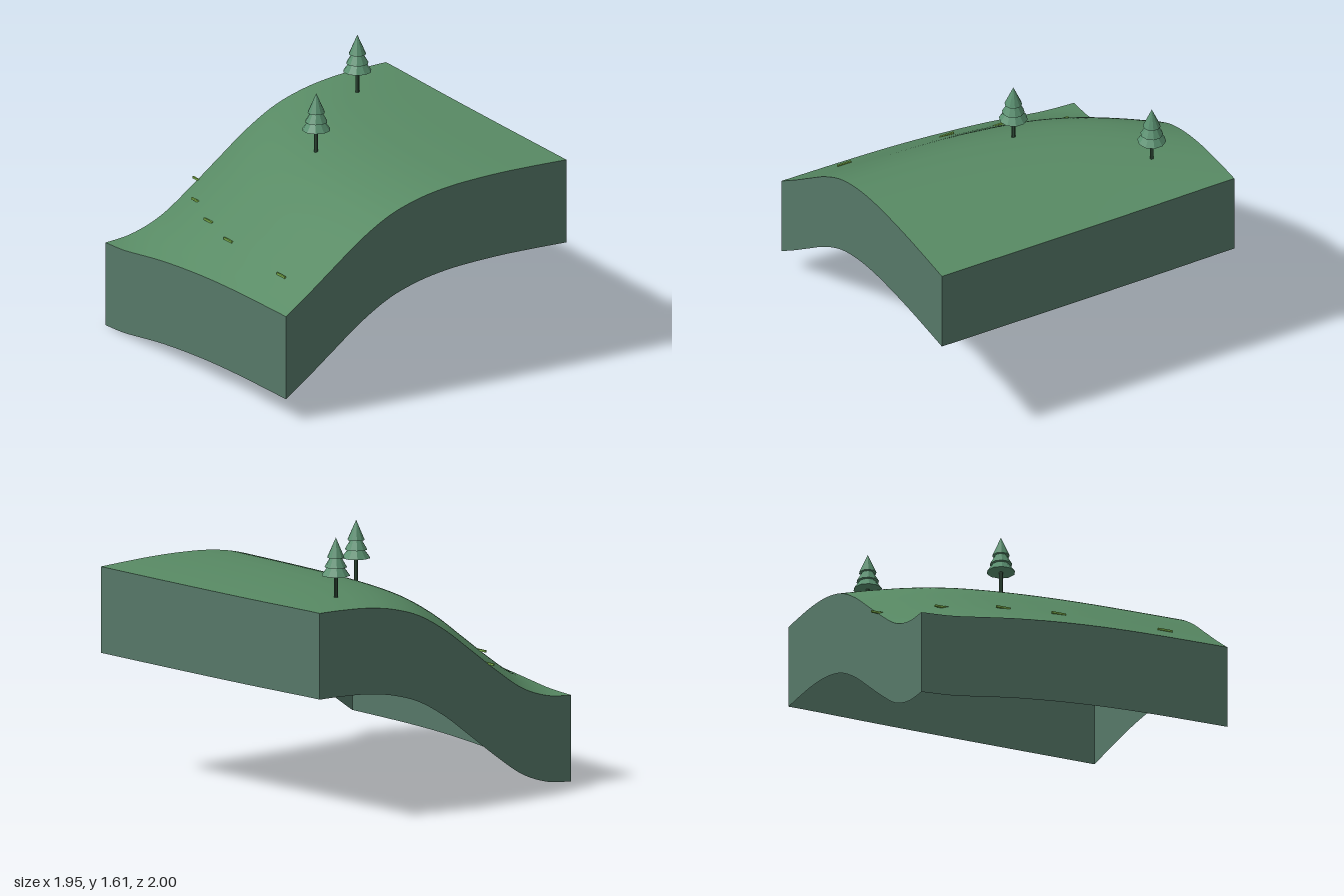
import * as THREE from 'three';

const X = 0.977, BACK = -0.957, FRONT = 0.997, DEPTH = 0.515;

// Hill profile along x, and how far it slides towards -x along z (knots 0.2 apart from -1)
const PROFILE = [0.004, 0.026, 0.097, 0.228, 0.375, 0.52, 0.632, 0.696, 0.729, 0.742, 0.746, 0.743, 0.737, 0.73];
const SLIDE = [-0.036, 0.115, 0.238, 0.322, 0.372, 0.405, 0.427, 0.44, 0.447, 0.451, 0.454];

// Smooth curve through evenly spaced knots
function smooth(knots, v) {
  const f = (v + 1) / 0.2;
  const i = THREE.MathUtils.clamp(Math.floor(f), 0, knots.length - 2);
  const t = f - i;
  const p1 = knots[i], p2 = knots[i + 1];
  const p0 = i > 0 ? knots[i - 1] : 2 * p1 - p2;
  const p3 = i + 2 < knots.length ? knots[i + 2] : 2 * p2 - p1;
  const m1 = (p2 - p0) / 2, m2 = (p3 - p1) / 2;
  return p1 + t * (m1 + t * (3 * (p2 - p1) - 2 * m1 - m2 + t * (2 * (p1 - p2) + m1 + m2)));
}

const rimHeight = (x, z) => Math.max(0, smooth(PROFILE, x + smooth(SLIDE, z)));
const groundHeight = (x, z) => rimHeight(x, z) + DEPTH;

export function createModel() {
  const model = new THREE.Group();
  model.name = 'hillside';

  const material = (name, color, extra = {}) => {
    const m = new THREE.MeshStandardMaterial({ color, ...extra });
    m.name = name;
    return m;
  };
  const grass = material('grass green', 0x588a64, { side: THREE.DoubleSide });
  const earth = material('grey green', 0x567868, { side: THREE.DoubleSide });
  const needles = material('pine green', 0x5a9070, { flatShading: true });
  const bark = material('dark bark', 0x36543f, { flatShading: true });
  const lime = material('lime green', 0x7cb04a);

  const add = (parent, name, geometry, mat, x = 0, y = 0, z = 0) => {
    const mesh = new THREE.Mesh(geometry, mat);
    mesh.name = name;
    mesh.position.set(x, y, z);
    parent.add(mesh);
    return mesh;
  };

  // Curved ground sheet
  const ground = new THREE.PlaneGeometry(2 * X, FRONT - BACK, 56, 56);
  ground.rotateX(-Math.PI / 2);
  ground.translate(0, 0, (FRONT + BACK) / 2);
  const gp = ground.attributes.position;
  for (let i = 0; i < gp.count; i++) gp.setY(i, groundHeight(gp.getX(i), gp.getZ(i)));
  ground.computeVertexNormals();
  add(model, 'ground', ground, grass);

  // Four side walls hanging below the ground edge, open underneath
  const wall = (name, x0, z0, x1, z1) => {
    const g = new THREE.PlaneGeometry(1, 1, 56, 1);
    const p = g.attributes.position;
    for (let i = 0; i < p.count; i++) {
      const u = p.getX(i) + 0.5;
      const x = x0 + (x1 - x0) * u, z = z0 + (z1 - z0) * u;
      p.setXYZ(i, x, rimHeight(x, z) + (p.getY(i) > 0 ? DEPTH : 0), z);
    }
    g.computeVertexNormals();
    add(model, name, g, earth);
  };
  wall('frontWall', -X, FRONT, X, FRONT);
  wall('leftWall', X, FRONT, X, BACK);
  wall('backWall', X, BACK, -X, BACK);
  wall('rightWall', -X, BACK, -X, FRONT);

  // Pine trees: a trunk and three stacked cones [radius, base, height]
  const tiers = [[0.085, 0, 0.115], [0.067, 0.05, 0.115], [0.052, 0.107, 0.118]];
  for (const [x, z, skirt] of [[-0.085, -0.062, 1.325], [0.567, -0.63, 1.388]]) {
    const tree = new THREE.Group();
    tree.name = 'pineTree';
    tree.position.set(x, skirt, z);
    model.add(tree);
    const length = skirt - groundHeight(x, z) + 0.03;
    add(tree, 'trunk', new THREE.CylinderGeometry(0.012, 0.012, length, 8), bark, 0, 0.02 - length / 2, 0);
    for (const [r, base, h] of tiers) {
      add(tree, 'foliage', new THREE.ConeGeometry(r, h, 10), needles, 0, base + h / 2, 0);
    }
  }

  // Small marker bars following one height line across the slope
  for (const [x, z] of [[-0.34, -0.955], [-0.55, -0.64], [-0.68, -0.305], [-0.75, 0.018], [-0.803, 0.675]]) {
    add(model, 'markerBar', new THREE.BoxGeometry(0.01, 0.012, 0.09), lime, x, groundHeight(x, z) + 0.006, z);
  }

  return model;
}
